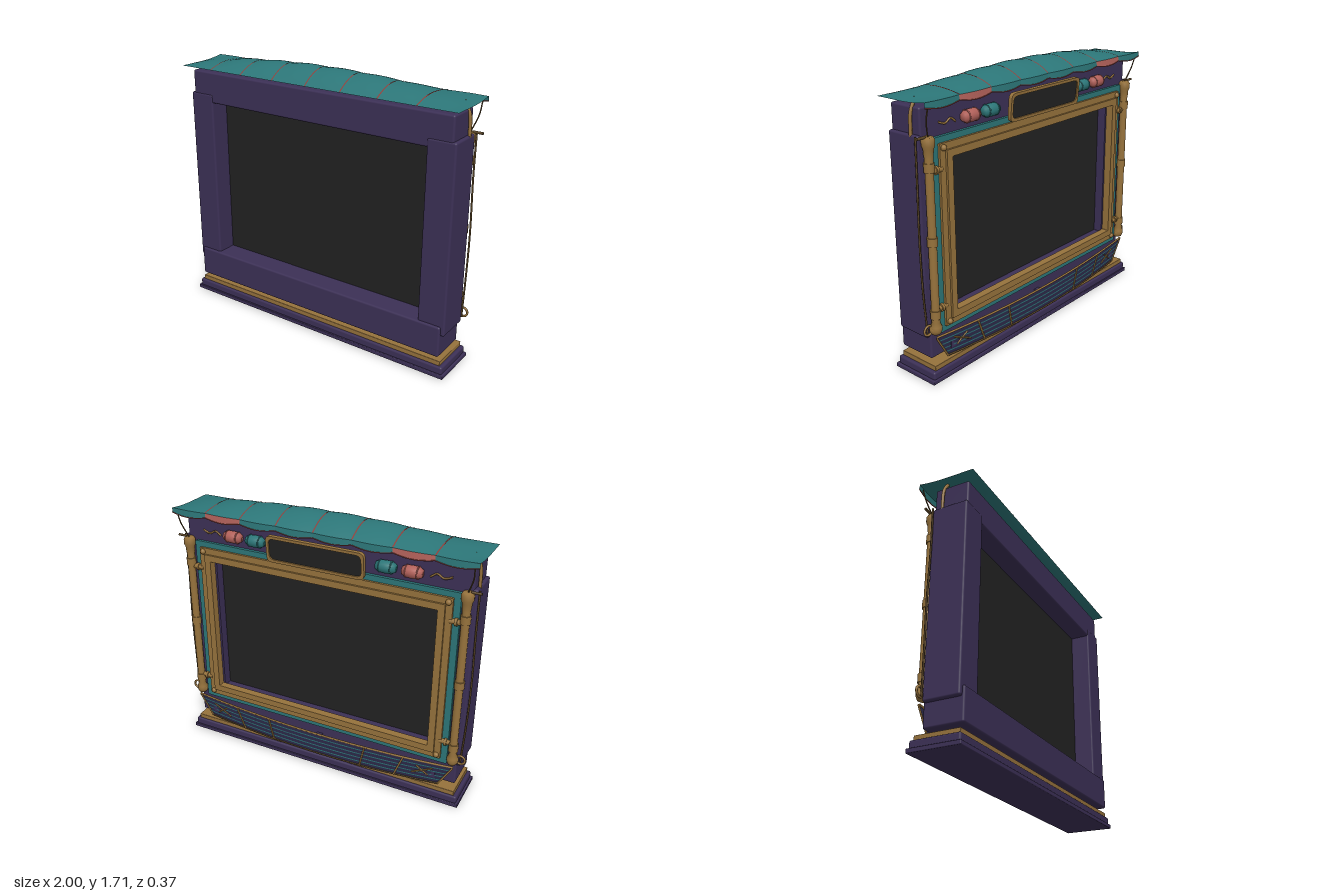
import * as THREE from 'three';
import { RoundedBoxGeometry } from 'three/addons/geometries/RoundedBoxGeometry.js';
import { ParametricGeometry } from 'three/addons/geometries/ParametricGeometry.js';

const paint = (name, color, side = THREE.FrontSide) => {
  const m = new THREE.MeshStandardMaterial({ color, side });
  m.name = name;
  return m;
};

export function createModel() {
  const purple = paint('purple wood', 0x3c3056);
  const gold = paint('aged gold', 0x96723c);
  const dark = paint('dark glass', 0x222222);
  const teal = paint('teal', 0x2c7678, THREE.DoubleSide);
  const coral = paint('coral', 0xb2615a, THREE.DoubleSide);
  const red = paint('rib red', 0x8c3f3a, THREE.DoubleSide);
  const rope = paint('rope brown', 0x5a4526);
  const navy = paint('navy', 0x2c2a4a, THREE.DoubleSide);

  const model = new THREE.Group();
  model.name = 'canopiedScreen';
  const V = (x, y, z) => new THREE.Vector3(x, y, z);
  const add = (name, geo, mat, x = 0, y = 0, z = 0) => {
    const m = new THREE.Mesh(geo, mat);
    m.name = name;
    m.position.set(x, y, z);
    model.add(m);
    return m;
  };
  // Rounded box given by its extents
  const block = (name, mat, x0, x1, y0, y1, z0, z1, r = 0.012) =>
    add(name, new RoundedBoxGeometry(x1 - x0, y1 - y0, z1 - z0, 3, r), mat,
      (x0 + x1) / 2, (y0 + y1) / 2, (z0 + z1) / 2);
  const tube = (name, mat, pts, r, n = 24) =>
    add(name, new THREE.TubeGeometry(new THREE.CatmullRomCurve3(pts), n, r, 6), mat);
  const surface = (name, mat, f, nu, nv) =>
    add(name, new ParametricGeometry((u, v, t) => t.copy(f(u, v)), nu, nv), mat);
  const roundRect = (w, h, r, P = THREE.Shape) => {
    const s = new P(), a = w / 2, b = h / 2;
    s.moveTo(-a + r, -b);
    s.lineTo(a - r, -b); s.quadraticCurveTo(a, -b, a, -b + r);
    s.lineTo(a, b - r); s.quadraticCurveTo(a, b, a - r, b);
    s.lineTo(-a + r, b); s.quadraticCurveTo(-a, b, -a, b - r);
    s.lineTo(-a, -b + r); s.quadraticCurveTo(-a, -b, -a + r, -b);
    return s;
  };
  const frameGeo = (w, h, bar, depth, r) => {
    const s = roundRect(w, h, r);
    s.holes.push(roundRect(w - 2 * bar, h - 2 * bar, r, THREE.Path));
    return new THREE.ExtrudeGeometry(s, { depth, bevelEnabled: false, curveSegments: 6 });
  };

  // Stepped base
  block('basePlate', purple, -0.985, 0.985, 0, 0.026, -0.155, 0.165, 0.005);
  block('basePlinth', purple, -0.972, 0.972, 0.02, 0.072, -0.148, 0.155);
  block('baseGoldStep', gold, -0.95, 0.95, 0.07, 0.102, -0.135, 0.14, 0.004);

  // Heavy cabinet beams and the screen
  block('topBeam', purple, -0.942, 0.942, 1.395, 1.597, -0.09, 0.13);
  block('bottomBeam', purple, -0.94, 0.94, 0.13, 0.33, -0.095, 0.15);
  for (const s of [-1, 1]) {
    const [a, b] = [s * 0.785, s * 0.963].sort((p, q) => p - q);
    block('sideBeam', purple, a, b, 0.27, 1.45, -0.09, 0.135);
  }
  add('screen', new THREE.BoxGeometry(1.6, 1.1, 0.03), dark, 0, 0.865, -0.012);

  // Layered frame around the screen on the ornate side
  add('tealBackFrame', frameGeo(1.76, 1.15, 0.1, 0.025, 0.01), teal, 0, 0.85, -0.11);
  add('goldOuterFrame', frameGeo(1.68, 1.08, 0.05, 0.04, 0.005), gold, 0, 0.85, -0.125);
  add('goldInnerFrame', frameGeo(1.6, 1.0, 0.042, 0.05, 0.005), gold, 0, 0.85, -0.138);
  add('purpleLiner', frameGeo(1.58, 1.04, 0.045, 0.062, 0.005), purple, 0, 0.85, -0.088);
  for (const sx of [-1, 1]) for (const y of [0.335, 1.365])
    add('frameStud', new THREE.SphereGeometry(0.018, 12, 8), gold, sx * 0.815, y, -0.128);

  // Pipe-like columns, with collars, brackets, rings and hanging ropes
  const profile = [[0, 0.3], [0.026, 0.3], [0.034, 0.32], [0.034, 0.345], [0.024, 0.37], [0.024, 1.33],
    [0.027, 1.35], [0.029, 1.38], [0.037, 1.4], [0.037, 1.43], [0.028, 1.445], [0, 1.445]]
    .map(p => new THREE.Vector2(...p));
  for (const s of [-1, 1]) {
    const x = s * 0.917;
    add('column', new THREE.LatheGeometry(profile, 20), gold, x, 0, -0.12);
    for (const y of [0.42, 0.86, 1.28])
      add('columnCollar', new THREE.CylinderGeometry(0.03, 0.03, 0.05, 20), gold, x, y, -0.12);
    for (const y of [0.44, 1.25]) {
      add('columnBracket', new THREE.CylinderGeometry(0.016, 0.016, 0.09, 12), gold, s * 0.87, y, -0.115).rotation.z = Math.PI / 2;
      add('bracketCap', new THREE.CylinderGeometry(0.024, 0.024, 0.016, 12), gold, s * 0.865, y, -0.115).rotation.z = Math.PI / 2;
    }
    add('columnElbow', new THREE.SphereGeometry(0.037, 16, 12), gold, x, 0.325, -0.115);
    add('sideRing', new THREE.TorusGeometry(0.029, 0.007, 8, 20), gold, s * 0.963, 0.33, -0.105);
    tube('hangingRope', rope, [V(s * 0.972, 1.45, -0.085), V(s * 0.972, 1.2, -0.083), V(s * 0.978, 0.85, -0.085),
      V(s * 0.972, 0.55, -0.087), V(s * 0.96, 0.3, -0.095)], 0.006, 40);
    add('ropeHook', new THREE.CylinderGeometry(0.008, 0.008, 0.06, 8), rope, s * 0.965, 1.447, -0.12).rotation.z = Math.PI / 2;
    tube('canopyPost', gold, [V(s * 0.955, 1.44, -0.033), V(s * 0.95, 1.56, -0.033), V(s * 0.935, 1.6, -0.033), V(s * 0.91, 1.64, -0.033)], 0.01);
    tube('canopyCord', rope, [V(s * 0.955, 1.62, -0.172), V(s * 0.95, 1.54, -0.15), V(s * 0.917, 1.44, -0.12)], 0.004, 12);

    // Barrel lanterns and small scrolls beside the sign
    for (const [lx, mat] of [[0.59, coral], [0.43, teal]]) {
      const pts = [[0, -0.06], [0.024, -0.06], [0.036, -0.035], [0.038, 0], [0.036, 0.035], [0.024, 0.06], [0, 0.06]];
      add('lantern', new THREE.LatheGeometry(pts.map(p => new THREE.Vector2(...p)), 18), mat, s * lx, 1.495, -0.112).rotation.z = Math.PI / 2;
      for (const e of [-1, 1])
        add('lanternBand', new THREE.TorusGeometry(0.035, 0.004, 6, 18), mat, s * lx + e * 0.036, 1.495, -0.112).rotation.y = Math.PI / 2;
    }
    tube('scroll', gold, [V(s * 0.69, 1.48, -0.094), V(s * 0.73, 1.505, -0.098), V(s * 0.77, 1.485, -0.098), V(s * 0.82, 1.5, -0.094)], 0.006);
  }

  // Tilted sign above the frame
  const sign = new THREE.Group();
  sign.name = 'sign';
  sign.position.set(0, 1.49, -0.158);
  sign.rotation.x = -0.08;
  const signFrame = add('signFrame', frameGeo(0.64, 0.17, 0.018, 0.024, 0.035), gold, 0, 0, -0.012);
  const signPanel = add('signPanel', new THREE.ExtrudeGeometry(roundRect(0.62, 0.15, 0.035), { depth: 0.012, bevelEnabled: false }), dark, 0, 0, -0.004);
  sign.add(signFrame, signPanel);
  model.add(sign);
  for (const x of [-0.2, 0.2])
    add('signMount', new THREE.BoxGeometry(0.03, 0.03, 0.07), gold, x, 1.48, -0.115);

  // Arched canopy, bulging between its ribs
  const W = 0.985, seg = W / 4;
  const bulge = x => Math.abs(Math.sin(Math.PI * x / seg));
  const roof = (x, v, lift = 0) => {
    const t = 1 - 2 * v, k = 1 - (x / W) ** 2;
    const back = t < 0 ? t * t : 0;
    return V(x, 1.627 + lift + (0.08 * k + 0.007 * bulge(x)) * (1 - t * t) + 0.016 * back,
      0.18 * t - 0.008 * back * bulge(x) + (t < 0 ? 0.003 : 0));
  };
  surface('canopy', teal, (u, v) => roof((2 * u - 1) * W, v), 96, 20);
  for (let i = -3; i <= 3; i++)
    surface('canopyRib', red, (u, v) => roof(i * seg + (u - 0.5) * 0.008, v, 0.003), 2, 20);

  // Scalloped valance with two coral panels
  for (let i = -4; i < 4; i++) {
    const edge = (u, d) => {
      const x = (i + u) * seg, p = roof(x, 1);
      return V(x, p.y - d * (0.028 + 0.014 * bulge(x)), p.z - 0.004 * d);
    };
    surface('valance', i === -3 || i === 2 ? coral : teal, edge, 12, 3);
    tube('valanceTrim', red, Array.from({ length: 9 }, (_, k) => edge(k / 8, 1)), 0.003, 12);
  }

  // Bowed apron below the frame
  const apron = (s, v, out = 0) => {
    const c = 1 - s * s;
    return V(s * (0.84 + 0.09 * v), 0.122 - 0.02 * c + 0.155 * v, -0.124 - 0.042 * c - 0.006 * v - out);
  };
  surface('apronPanel', navy, (u, v) => apron(2 * u - 1, v), 40, 4);
  for (const v of [0.2, 0.4, 0.6, 0.8])
    surface('apronStripe', teal, (u, w) => apron(2 * u - 1, v + (w - 0.5) * 0.045, 0.002), 40, 1);
  const along = (v, out) => Array.from({ length: 17 }, (_, k) => apron(k / 8 - 1, v, out));
  tube('apronTopRail', gold, along(1, 0), 0.007, 48);
  tube('apronBottomRail', rope, along(0, 0), 0.006, 48);
  for (const s of [-1, -0.66, -0.38, 0.38, 0.66, 1])
    tube('apronDivider', gold, [0, 0.5, 1].map(v => apron(s, v, 0.002)), 0.006, 8);
  for (const s of [-0.83, 0.83]) {
    for (const d of [-1, 1])
      tube('apronCross', gold, [-1, 0, 1].map(k => apron(s + 0.06 * k, 0.55 + 0.2 * d * k, 0.004)), 0.005, 8);
  }
  for (const x of [-0.8, 0, 0.8])
    add('apronMount', new THREE.BoxGeometry(0.04, 0.05, 0.05), purple, x, 0.19, -0.11);

  return model;
}
